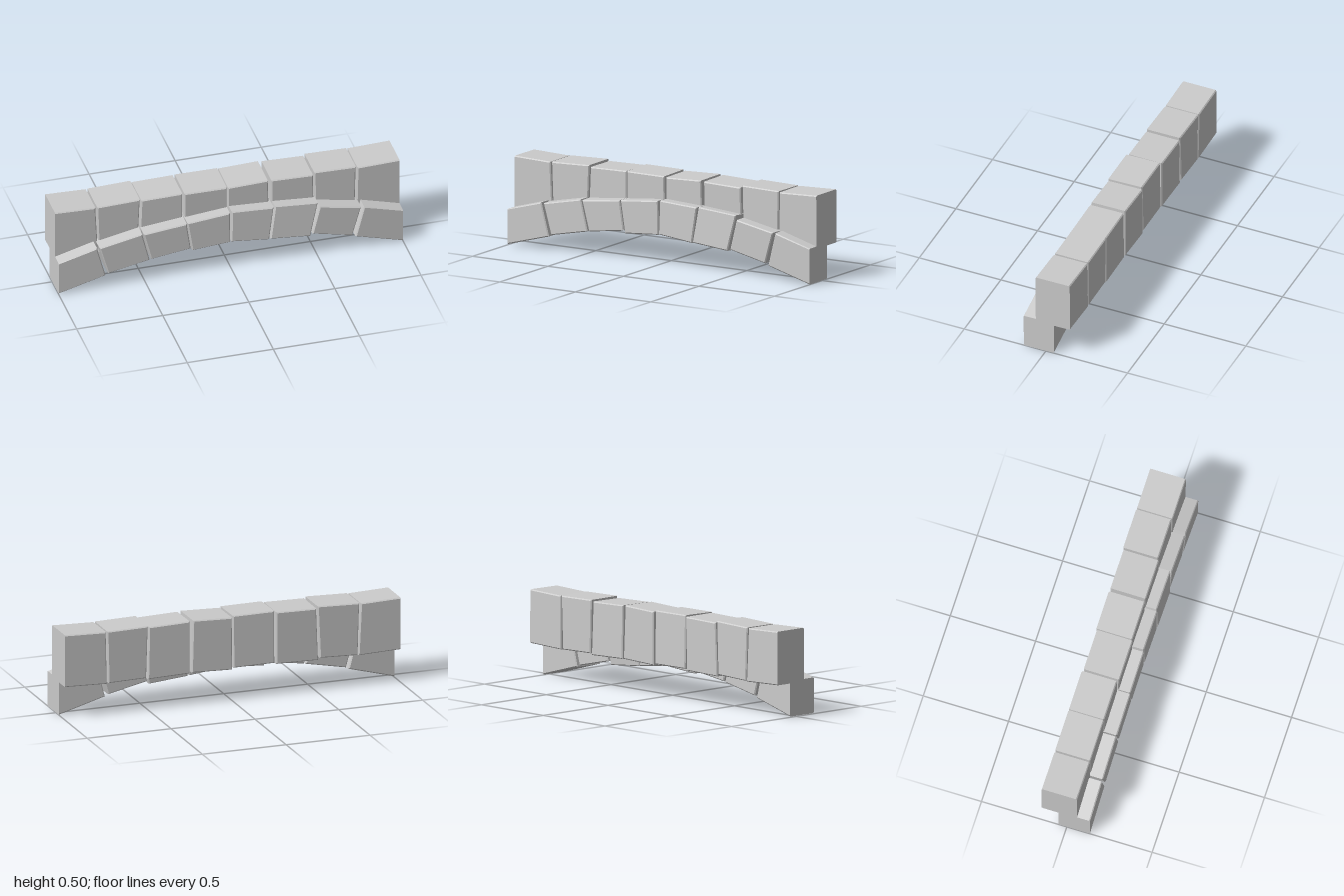
import * as THREE from 'three';

const material = new THREE.MeshStandardMaterial({ color: 0xcccccc, flatShading: true });
const BEVEL = 0.006;

// Chamfered stone: a four-sided front outline given a depth, tilted about x,
// and cut flat where it reaches the ends of the wall.
function stone(name, corners, zBack, zFront, tilt = 0) {
  const shape = new THREE.Shape(corners.map(([x, y]) => new THREE.Vector2(x, y)));
  const depth = zFront - zBack;
  const geo = new THREE.ExtrudeGeometry(shape, {
    depth: depth - 2 * BEVEL,
    bevelEnabled: true,
    bevelSegments: 1,
    bevelSize: BEVEL,
    bevelThickness: BEVEL,
    bevelOffset: -BEVEL,
  });
  const cy = corners.reduce((sum, c) => sum + c[1], 0) / 4;
  geo.translate(0, -cy, BEVEL - depth / 2);
  geo.rotateX(tilt);
  geo.translate(0, cy, (zBack + zFront) / 2);
  const pos = geo.attributes.position;
  for (let i = 0; i < pos.count; i++) {
    pos.setX(i, THREE.MathUtils.clamp(pos.getX(i), -1, 1));
    pos.setY(i, Math.max(0, pos.getY(i)));
  }
  geo.computeVertexNormals();
  const mesh = new THREE.Mesh(geo, material);
  mesh.name = name;
  return mesh;
}

export function createModel() {
  const model = new THREE.Group();
  model.name = 'stoneArch';

  // Straight rear course: bottom left x, bottom right x, top left x, top right x,
  // top left y, top right y, back z, front z, tilt
  const course = new THREE.Group();
  course.name = 'rearCourse';
  [
    [-1.01, -0.75, -1.01, -0.765, 0.498, 0.49, -0.147, 0.06, 0],
    [-0.745, -0.52, -0.755, -0.507, 0.492, 0.5, -0.147, 0.06, 0.006],
    [-0.51, -0.26, -0.498, -0.26, 0.49, 0.494, -0.146, 0.061, -0.006],
    [-0.25, -0.004, -0.25, -0.004, 0.499, 0.497, -0.142, 0.068, 0.02],
    [0.004, 0.245, 0.004, 0.235, 0.49, 0.498, -0.147, 0.064, 0.012],
    [0.255, 0.505, 0.255, 0.497, 0.495, 0.488, -0.145, 0.063, 0.015],
    [0.515, 0.74, 0.506, 0.748, 0.498, 0.493, -0.147, 0.06, -0.005],
    [0.75, 1.01, 0.756, 1.01, 0.49, 0.498, -0.147, 0.063, 0.008],
  ].forEach(([bl, br, tl, tr, yl, yr, zb, zf, tilt], i) => {
    const corners = [[bl, yl - 0.304], [br, yr - 0.304], [tr, yr], [tl, yl]];
    course.add(stone(`rearStone${i + 1}`, corners, zb, zf, tilt));
  });

  // Arched front course: bottom left, bottom right, top right, top left
  const arch = new THREE.Group();
  arch.name = 'frontArch';
  [
    [[-1.01, 0.006], [-0.727, 0.08], [-0.777, 0.27], [-1.01, 0.208], 0],
    [[-0.712, 0.09], [-0.471, 0.138], [-0.515, 0.317], [-0.762, 0.267], 0],
    [[-0.462, 0.14], [-0.232, 0.171], [-0.257, 0.342], [-0.506, 0.315], 0.015],
    [[-0.223, 0.156], [-0.003, 0.172], [-0.005, 0.366], [-0.252, 0.342], 0],
    [[0.003, 0.173], [0.222, 0.149], [0.25, 0.354], [0.007, 0.367], -0.03],
    [[0.229, 0.149], [0.46, 0.128], [0.508, 0.335], [0.26, 0.354], -0.07],
    [[0.474, 0.142], [0.706, 0.09], [0.757, 0.27], [0.517, 0.317], 0],
    [[0.725, 0.08], [1.01, 0.003], [1.01, 0.208], [0.774, 0.272], 0.01],
  ].forEach(([a, b, c, d, tilt], i) => {
    arch.add(stone(`archStone${i + 1}`, [a, b, c, d], -0.049, 0.136, tilt));
  });

  model.add(course, arch);
  return model;
}
